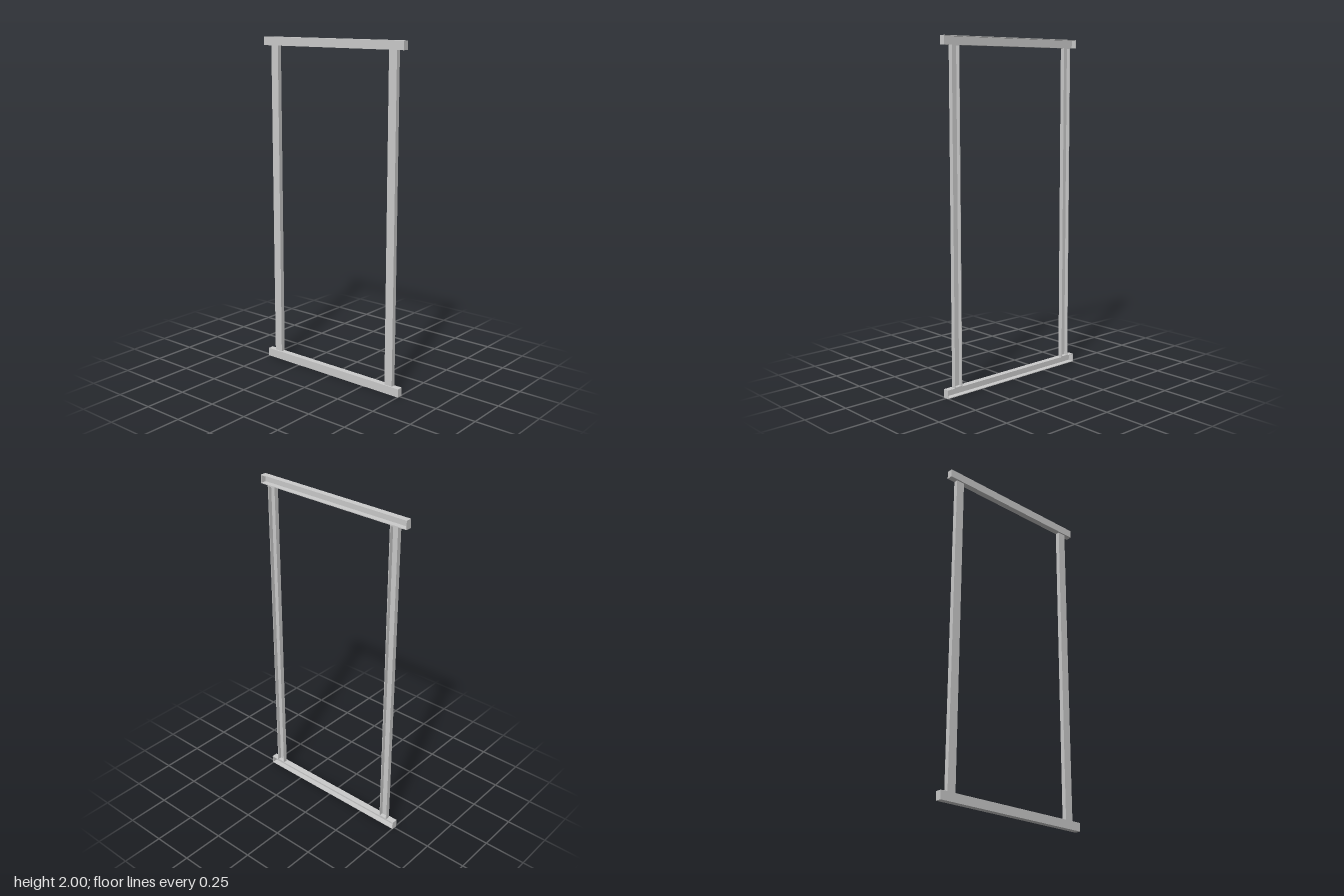
import * as THREE from 'three';

const WALL = 0.004;
const BACK = -0.018;
const material = new THREE.MeshStandardMaterial({ color: 0xcccccc });

// Shallow tray: flat face toward +z, thin walls all round, open at the back
function makeTray(name, width, height, depth) {
  const tray = new THREE.Group();
  tray.name = name;

  const face = new THREE.Mesh(new THREE.BoxGeometry(width, height, WALL), material);
  face.name = name + 'Face';
  face.position.z = BACK + depth - WALL / 2;

  const w = width / 2, h = height / 2, iw = w - WALL, ih = h - WALL;
  const outline = new THREE.Shape([[-w, -h], [w, -h], [w, h], [-w, h]].map(p => new THREE.Vector2(...p)));
  outline.holes.push(new THREE.Path([[-iw, -ih], [-iw, ih], [iw, ih], [iw, -ih]].map(p => new THREE.Vector2(...p))));
  const walls = new THREE.Mesh(
    new THREE.ExtrudeGeometry(outline, { depth: depth - WALL, bevelEnabled: false }), material);
  walls.name = name + 'Walls';
  walls.position.z = BACK;

  tray.add(face, walls);
  return tray;
}

export function createModel() {
  const model = new THREE.Group();
  model.name = 'frame';
  const railHeight = 0.05;

  // Horizontal rails at the bottom and top
  for (const [name, y] of [['bottomRail', railHeight / 2], ['topRail', 2 - railHeight / 2]]) {
    const rail = makeTray(name, 1.008, railHeight, 0.036);
    rail.position.y = y;
    model.add(rail);
  }

  // Slimmer uprights between the rails, flush with their backs
  for (const [name, side] of [['leftPost', 1], ['rightPost', -1]]) {
    const post = makeTray(name, 0.052, 2 - 2 * railHeight, 0.027);
    post.position.set(side * 0.427, 1, 0);
    model.add(post);
  }
  return model;
}
